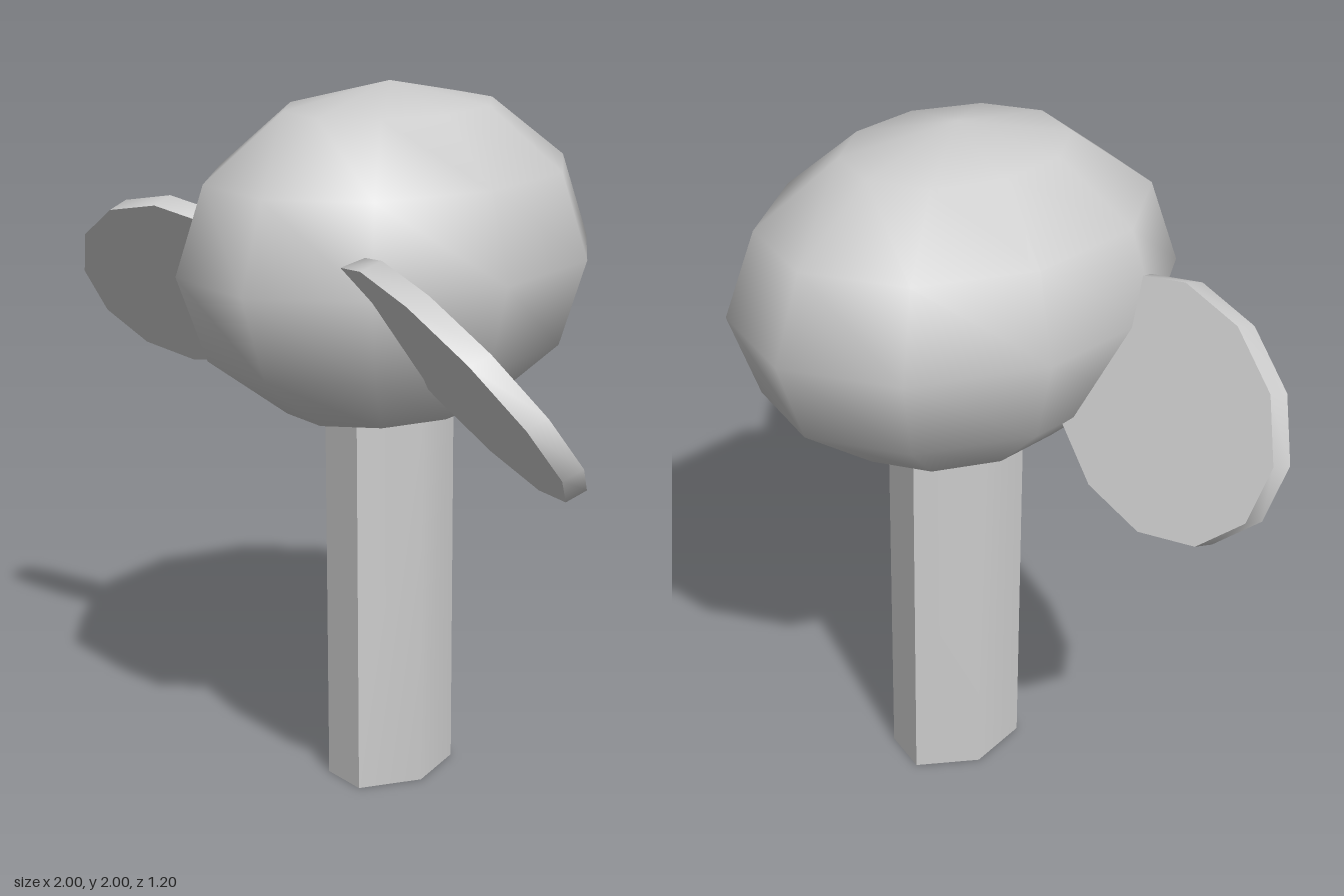
import * as THREE from 'three';
import { toCreasedNormals } from 'three/addons/utils/BufferGeometryUtils.js';

const CREASE = 0.9;
const CENTRE_X = -0.04;

export function createModel() {
  const group = new THREE.Group();
  const grey = new THREE.MeshStandardMaterial({ color: 0xcccccc });
  grey.name = 'plain grey';

  const add = (name, geometry) => {
    const mesh = new THREE.Mesh(geometry, grey);
    mesh.name = name;
    group.add(mesh);
  };

  // Head: smooth low-poly ellipsoid, longest from front to back
  const head = new THREE.SphereGeometry(1, 10, 6);
  head.scale(0.48, 0.475, 0.63).translate(CENTRE_X, 1.525, 0);
  add('head', head);

  // Body: six-sided post running up into the head
  const body = new THREE.CylinderGeometry(1, 1, 1.25, 6);
  body.rotateY(Math.PI / 6).scale(0.14, 1, 0.2).translate(CENTRE_X, 0.625, 0);
  add('body', toCreasedNormals(body, CREASE));

  // Ears: slanted twelve-sided discs, each set by its centre, two radii and thickness
  const addEar = (name, centre, up, out, thickness) => {
    const ear = new THREE.CylinderGeometry(1, 1, 1, 12);
    const matrix = new THREE.Matrix4().makeBasis(
      new THREE.Vector3(...out),
      new THREE.Vector3(...thickness),
      new THREE.Vector3(...up)
    );
    matrix.setPosition(...centre);
    ear.applyMatrix4(matrix);
    add(name, toCreasedNormals(ear, CREASE));
  };
  addEar('leftEar', [0.59, 1.37, 0.285], [-0.315, 0.245, 0.095], [0.265, 0.13, 0.175], [0.01, 0.02, -0.06]);
  addEar('rightEar', [-0.635, 1.387, 0.283], [0.275, 0.235, 0.073], [-0.25, 0.127, 0.14], [0.01, -0.02, 0.06]);

  return group;
}
